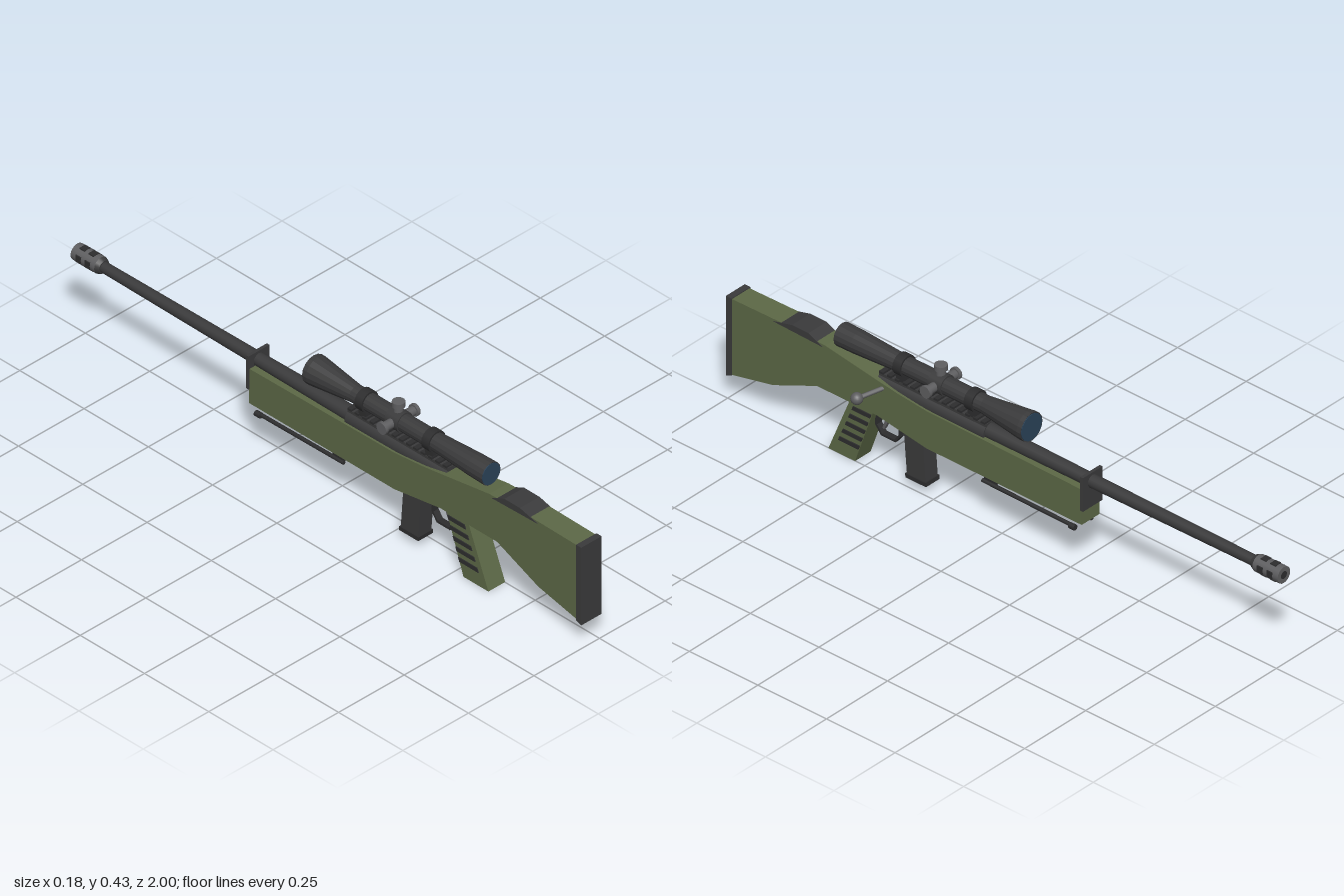
import * as THREE from 'three';

const mat = (name, color) => Object.assign(new THREE.MeshStandardMaterial({ color }), { name });

export function createModel() {
  const green = mat('olive green', 0x5c6846);
  const dark = mat('dark grey', 0x3a3a3b);
  const black = mat('black grey', 0x2d2d2e);
  const steel = mat('steel grey', 0x5e5e60);
  const glass = mat('lens blue', 0x2a4258);

  const root = new THREE.Group();
  root.name = 'rifle';
  const body = new THREE.Group();
  body.name = 'body';
  body.position.x = -0.031;
  root.add(body);

  const add = (name, geo, material, x = 0, y = 0, z = 0) => {
    const m = new THREE.Mesh(geo, material);
    m.name = name;
    m.position.set(x, y, z);
    body.add(m);
    return m;
  };
  const box = (name, material, w, h, d, x, y, z) =>
    add(name, new THREE.BoxGeometry(w, h, d), material, x, y, z);
  // Side outline given as [z, y] points, extruded across x
  const slab = (name, material, pts, width, x = 0) => {
    const shape = new THREE.Shape(pts.map(p => new THREE.Vector2(...p)));
    const g = new THREE.ExtrudeGeometry(shape, { depth: width, bevelEnabled: false });
    g.translate(0, 0, -width / 2).rotateY(-Math.PI / 2);
    return add(name, g, material, x);
  };
  // Round part along z; r1 is the radius at z1 (rear), r2 at z2 (front)
  const tube = (name, material, r1, r2, z1, z2, x, y, sides = 16) => {
    const g = new THREE.CylinderGeometry(r1, r2, z1 - z2, sides).rotateX(Math.PI / 2);
    return add(name, g, material, x, y, (z1 + z2) / 2);
  };
  // Round rod between two points
  const rod = (name, material, a, b, r, sides = 10) => {
    const p = new THREE.Vector3(...a), q = new THREE.Vector3(...b);
    const m = add(name, new THREE.CylinderGeometry(r, r, p.distanceTo(q), sides), material);
    m.position.copy(p).lerp(q, 0.5);
    m.quaternion.setFromUnitVectors(new THREE.Vector3(0, 1, 0), q.sub(p).normalize());
    return m;
  };

  // Stock, butt pad, cheek rest and front plate
  slab('stock', green, [
    [0.985, 0.335], [0.78, 0.338], [0.64, 0.333], [0.46, 0.305], [0.38, 0.293], [0.27, 0.282],
    [-0.295, 0.275], [-0.295, 0.16], [0.27, 0.16], [0.45, 0.188], [0.67, 0.188], [0.83, 0.12], [0.985, 0.086],
  ], 0.072);
  slab('buttPad', dark, [[1, 0.338], [0.98, 0.338], [0.98, 0.086], [1, 0.078]], 0.078);
  slab('cheekRest', dark, [[0.83, 0.33], [0.76, 0.348], [0.7, 0.348], [0.65, 0.325]], 0.075);
  box('frontPlate', dark, 0.08, 0.11, 0.01, 0, 0.263, -0.298);

  // Pistol grip with dark side ribs
  slab('grip', green, [[0.55, 0.2], [0.465, 0.2], [0.535, 0], [0.632, 0]], 0.064);
  for (const y of [0.165, 0.135, 0.105, 0.075, 0.045]) {
    const f = 0.535 - 0.35 * y, b = 0.608 - 0.41 * y, h = 0.013;
    for (const s of [-1, 1]) {
      slab('gripRib', black, [[b, y + h], [f + 0.002 - 0.35 * h, y + h], [f + 0.002, y], [b + 0.41 * h, y]], 0.004, s * 0.033);
    }
  }

  // Receiver, barrel and slotted muzzle
  tube('receiver', dark, 0.03, 0.03, 0.46, 0.07, 0, 0.285);
  tube('barrelBase', dark, 0.024, 0.02, 0.07, -0.3, 0, 0.29);
  tube('barrel', dark, 0.02, 0.016, -0.3, -0.92, 0, 0.29);
  tube('muzzleCollar', dark, 0.02, 0.026, -0.895, -0.908, 0, 0.29);
  tube('muzzleBrake', steel, 0.026, 0.026, -0.908, -1, 0, 0.29);
  tube('muzzleBore', black, 0.012, 0.012, -0.95, -1.0005, 0, 0.29);
  for (let i = 0; i < 4; i++) {
    const a = i * Math.PI / 2;
    for (const z of [-0.935, -0.97]) {
      const m = box('muzzleSlot', black, 0.022, 0.004, 0.02, Math.sin(a) * 0.025, 0.29 + Math.cos(a) * 0.025, z);
      m.rotation.z = -a;
    }
  }

  // Toothed rail
  box('rail', dark, 0.036, 0.012, 0.39, 0, 0.312, 0.265);
  for (let i = 0; i < 14; i++) box('railTooth', black, 0.042, 0.007, 0.015, 0, 0.321, 0.45 - i * 0.0285);

  // Scope: lathed body, lenses and mounting rings
  const sy = 0.367;
  const outline = [[0, -0.078], [0.041, -0.078], [0.045, -0.08], [0.045, -0.065], [0.027, 0.085],
    [0.027, 0.39], [0.035, 0.55], [0.036, 0.61], [0.033, 0.608], [0, 0.608]];
  const scopeGeo = new THREE.LatheGeometry(outline.map(p => new THREE.Vector2(...p)), 16).rotateX(Math.PI / 2);
  const scopeMat = dark.clone();
  scopeMat.name = 'scope grey';
  scopeMat.flatShading = true;
  scopeMat.side = THREE.DoubleSide;
  add('scopeBody', scopeGeo, scopeMat, 0, sy, 0);
  tube('rearLens', glass, 0.034, 0.034, 0.611, 0.606, 0, sy);
  tube('frontLens', glass, 0.042, 0.042, -0.076, -0.081, 0, sy);
  for (const z of [0.385, 0.125]) {
    tube('scopeRing', black, 0.033, 0.033, z + 0.014, z - 0.014, 0, sy);
    box('ringMount', black, 0.034, 0.035, 0.028, 0, 0.328, z);
  }

  // Adjustment turrets on top and both sides
  const tz = 0.25;
  for (const [dx, dy] of [[1, 0], [-1, 0], [0, 1]]) {
    const at = d => [dx * d, sy + dy * d, tz];
    const end = dy ? 0.06 : 0.066;
    rod('turretNeck', steel, at(0.015), at(end - 0.01), 0.014, 14);
    rod('turretCap', steel, at(end - (dy ? 0.016 : 0.01)), at(end), 0.019, 14);
  }
  tube('turretBand', dark, 0.031, 0.031, tz + 0.024, tz - 0.024, 0, sy);

  // Bolt handle
  rod('boltHandle', steel, [0.02, 0.288, 0.425], [0.1, 0.268, 0.468], 0.007);
  add('boltKnob', new THREE.SphereGeometry(0.018, 16, 12), steel, 0.1, 0.268, 0.468);

  // Trigger and guard
  const guard = [[0.478, 0.19], [0.478, 0.135], [0.458, 0.11], [0.41, 0.11], [0.392, 0.135], [0.394, 0.18]];
  for (let i = 0; i < guard.length - 1; i++) {
    const [a, b] = [guard[i], guard[i + 1]];
    const m = box('triggerGuard', black, 0.02, 0.007, Math.hypot(b[0] - a[0], b[1] - a[1]) + 0.005,
      0, (a[1] + b[1]) / 2, (a[0] + b[0]) / 2);
    m.rotation.x = Math.atan2(-(b[1] - a[1]), b[0] - a[0]);
  }
  slab('trigger', steel, [[0.45, 0.19], [0.436, 0.19], [0.44, 0.155], [0.452, 0.128], [0.459, 0.13], [0.449, 0.158]], 0.012);

  // Magazine
  slab('magazine', dark, [[0.363, 0.17], [0.294, 0.17], [0.284, 0.035], [0.352, 0.035]], 0.05);
  slab('magazineBase', black, [[0.356, 0.038], [0.281, 0.038], [0.28, 0.025], [0.355, 0.025]], 0.056);

  // Folded bipod
  box('bipodMount', black, 0.064, 0.02, 0.04, 0, 0.153, 0.045);
  for (const s of [-1, 1]) {
    rod('bipodLeg', black, [s * 0.032, 0.144, 0.07], [s * 0.032, 0.14, -0.265], 0.006);
    rod('bipodFoot', black, [s * 0.034, 0.139, -0.25], [s * 0.034, 0.139, -0.27], 0.009);
  }

  return root;
}
